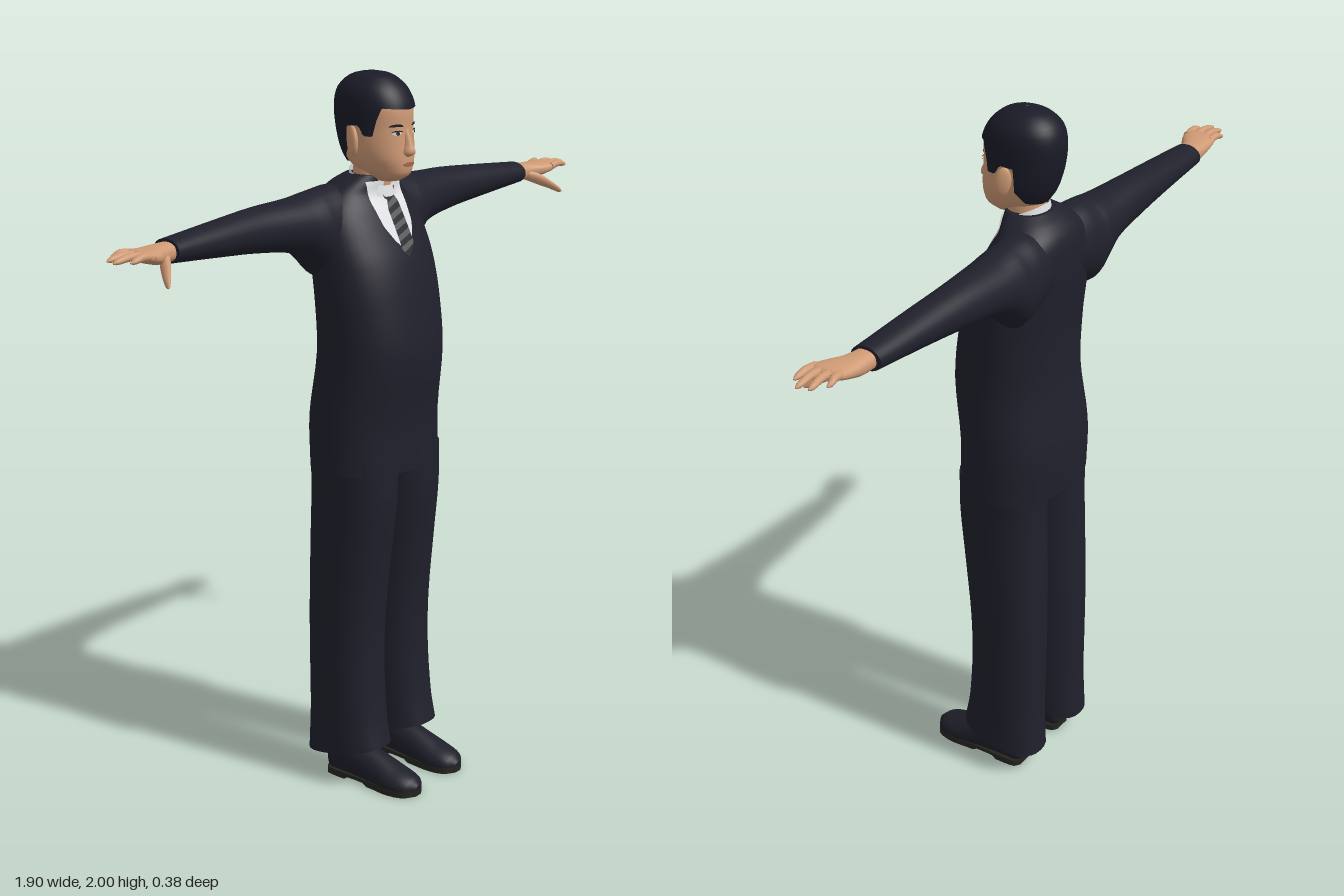
import * as THREE from 'three';

const mat = (name, color, side = THREE.FrontSide) => {
  const m = new THREE.MeshStandardMaterial({ color, side });
  m.name = name;
  return m;
};

// Smooth lookup in a table of rows keyed by their first number
function sample(rows, t) {
  const last = rows.length - 1;
  let i = 0;
  while (i < last - 1 && t > rows[i + 1][0]) i++;
  const a = rows[i], b = rows[i + 1], h = b[0] - a[0];
  const s = Math.min(1, Math.max(0, (t - a[0]) / h));
  const slope = (k, j) => {
    const p = rows[Math.max(0, k - 1)], q = rows[Math.min(last, k + 1)];
    return (q[j] - p[j]) / (q[0] - p[0]);
  };
  return a.map((v, j) => j === 0 ? t
    : (2 * s ** 3 - 3 * s * s + 1) * v + (s ** 3 - 2 * s * s + s) * h * slope(i, j)
    + (3 * s * s - 2 * s ** 3) * b[j] + (s ** 3 - s * s) * h * slope(i + 1, j));
}

const linear = (rows, t) => {
  let i = 0;
  while (i < rows.length - 2 && t > rows[i + 1][0]) i++;
  const [a, b] = [rows[i], rows[i + 1]];
  return a[1] + (b[1] - a[1]) * Math.min(1, Math.max(0, (t - a[0]) / (b[0] - a[0])));
};

// Grid surface from f(u, v); wrapped in u when closed, with optional flat caps
function grid(nu, nv, f, closed, caps) {
  const cols = closed ? nu : nu + 1, pos = [], idx = [];
  for (let j = 0; j <= nv; j++) for (let i = 0; i < cols; i++) pos.push(...f(i / nu, j / nv));
  for (let j = 0; j < nv; j++) for (let i = 0; i < nu; i++) {
    const k = (i + 1) % cols, a = j * cols + i, b = j * cols + k;
    idx.push(a, a + cols, b, b, a + cols, b + cols);
  }
  if (caps) for (const j of [0, nv]) {
    const base = pos.length / 3, mid = [0, 0, 0];
    for (let i = 0; i < nu; i++) {
      const p = f(i / nu, j / nv);
      pos.push(...p);
      p.forEach((c, k) => { mid[k] += c / nu; });
    }
    pos.push(...mid);
    for (let i = 0; i < nu; i++) {
      const a = base + i, b = base + (i + 1) % nu;
      idx.push(base + nu, ...(j ? [b, a] : [a, b]));
    }
  }
  const g = new THREE.BufferGeometry();
  g.setAttribute('position', new THREE.Float32BufferAttribute(pos, 3));
  g.setIndex(idx);
  g.computeVertexNormals();
  return g;
}

const bow = (c, n) => Math.sign(c) * Math.abs(c) ** (2 / n);

// Loft along an axis; rows are [position, centre 1, centre 2, radius 1, radius 2]
function loft(axis, rows, { n = 2, sides = 32, sub = 4, warp = p => p } = {}) {
  const nv = (rows.length - 1) * sub;
  return grid(sides, nv, (u, v) => {
    const k = Math.round(v * nv), i = Math.min(rows.length - 2, Math.floor(k / sub));
    const t = rows[i][0] + (rows[i + 1][0] - rows[i][0]) * (k - i * sub) / sub;
    const [, c1, c2, r1, r2] = sample(rows, t);
    const a = u * Math.PI * 2, p = c1 + r1 * bow(Math.cos(a), n), q = r2 * bow(Math.sin(a), n);
    return warp(axis === 'y' ? [p, t, c2 + q] : axis === 'x' ? [t, p, c2 - q] : [p, c2 - q, t]);
  }, true, true);
}

// Thin patch laid on the front of a vertical loft; f(u, v) gives x and y
const drape = (rows, n, f, lift, nu = 10, nv = 12) => grid(nu, nv, (u, v) => {
  const [x, y] = f(1 - 2 * u, v), [, cx, cz, rx, rz] = sample(rows, y);
  const k = Math.min(1, Math.abs((x - cx) / rx));
  return [x, y, cz + rz * (1 - k ** n) ** (1 / n) + lift];
}, false, false);

function mirrored(geo) {
  const g = geo.clone().scale(-1, 1, 1), ix = g.index;
  for (let i = 0; i < ix.count; i += 3) {
    const b = ix.getX(i + 1);
    ix.setX(i + 1, ix.getX(i + 2));
    ix.setX(i + 2, b);
  }
  return g;
}

export function createModel() {
  const suit = mat('suit', 0x20202c), hairMat = mat('hair', 0x1a1b27, THREE.DoubleSide);
  const skin = mat('skin', 0xcf9a75), shirt = mat('shirt', 0xe2e3e6, THREE.DoubleSide);
  const tieDark = mat('tieDark', 0x2a2b2e), tieLight = mat('tieLight', 0x5a5d60);
  const shoe = mat('shoe', 0x1e1f29), sole = mat('sole', 0x24241f);
  const lip = mat('lip', 0xa8664f), eyeWhite = mat('eyeWhite', 0xd8cfc6);

  const model = new THREE.Group();
  model.name = 'suitedMan';
  const add = (name, geo, m) => {
    const mesh = new THREE.Mesh(geo, m);
    mesh.name = name;
    model.add(mesh);
  };
  const pair = (name, geo, m) => {
    add('left' + name, geo, m);
    add('right' + name, mirrored(geo), m);
  };

  // Jacket body and sleeves
  const torso = [
    [0.93, 0, -0.038, 0.2, 0.148], [1.07, 0, -0.04, 0.197, 0.15], [1.25, 0, -0.018, 0.188, 0.148],
    [1.4, 0, -0.028, 0.193, 0.138], [1.5, 0, -0.045, 0.193, 0.13], [1.58, 0, -0.065, 0.188, 0.115],
    [1.64, 0, -0.08, 0.172, 0.1], [1.68, 0, -0.085, 0.138, 0.085], [1.71, 0, -0.072, 0.1, 0.073],
    [1.73, 0, -0.056, 0.07, 0.058]];
  add('jacket', loft('y', torso, { n: 2.3, sides: 48 }), suit);
  pair('Sleeve', loft('x', [
    [0.05, 1.6, -0.095, 0.1, 0.08], [0.12, 1.595, -0.1, 0.112, 0.083], [0.17, 1.585, -0.1, 0.118, 0.085],
    [0.2, 1.597, -0.101, 0.102, 0.084], [0.26, 1.616, -0.103, 0.075, 0.075], [0.4, 1.626, -0.105, 0.06, 0.061],
    [0.55, 1.628, -0.1, 0.047, 0.053], [0.74, 1.628, -0.094, 0.031, 0.044]]), suit);

  // Trousers with hems that drop towards the heel
  pair('TrouserLeg', loft('y', [
    [0.095, 0.106, -0.047, 0.086, 0.125], [0.2, 0.104, -0.052, 0.087, 0.113], [0.35, 0.102, -0.058, 0.089, 0.107],
    [0.5, 0.1, -0.057, 0.09, 0.109], [0.7, 0.097, -0.045, 0.092, 0.118], [0.85, 0.095, -0.035, 0.092, 0.125],
    [0.97, 0.095, -0.035, 0.093, 0.125]], {
    n: 2.4,
    warp: ([x, y, z]) => [x, y + (z + 0.047) * 0.2 * Math.max(0, 1 - (y - 0.095) / 0.1), z]
  }), suit);

  // Shoes: upper, ankle and flat sole
  const foot = [
    [-0.112, 0.1, 0.045, 0.025, 0.035], [-0.1, 0.1, 0.055, 0.04, 0.058], [-0.05, 0.1, 0.06, 0.045, 0.065],
    [0, 0.098, 0.05, 0.046, 0.06], [0.06, 0.097, 0.035, 0.05, 0.055], [0.12, 0.097, 0.024, 0.054, 0.043],
    [0.17, 0.096, 0.02, 0.042, 0.03], [0.192, 0.095, 0.018, 0.012, 0.012]];
  pair('Shoe', loft('z', foot, { warp: ([x, y, z]) => [x, Math.max(0.016, y), z] }), shoe);
  pair('Ankle', loft('y', [[0.06, 0.1, -0.04, 0.044, 0.065], [0.2, 0.1, -0.05, 0.045, 0.055]]), shoe);
  const flat = foot.map(([z, x, , rx]) => [z, x, 0.009, rx * 1.02, 0.02]);
  pair('Sole', loft('z', flat, {
    n: 4,
    warp: ([x, y, z]) => [x, y > 0.009 ? 0.018 : z > -0.035 && z < 0.035 ? 0.008 : 0, z]
  }), sole);

  // Hands
  pair('Palm', loft('x', [
    [0.72, 1.627, -0.094, 0.024, 0.03], [0.78, 1.627, -0.089, 0.024, 0.036], [0.82, 1.631, -0.077, 0.02, 0.046],
    [0.86, 1.638, -0.07, 0.014, 0.048], [0.872, 1.64, -0.07, 0.006, 0.04]], { n: 2.4 }), skin);
  const fingers = [[-0.106, -0.115, 0.908], [-0.082, -0.09, 0.943], [-0.057, -0.06, 0.952], [-0.034, -0.031, 0.924]];
  fingers.forEach(([z0, z1, tip], i) => pair('Finger' + (i + 1), loft('x', [
    [0.845, 1.638, z0, 0.011, 0.012], [(0.845 + tip) / 2, 1.643, (z0 + z1) / 2, 0.01, 0.011],
    [tip - 0.012, 1.638, z1, 0.007, 0.008], [tip, 1.636, z1, 0.002, 0.002]], { sides: 12 }), skin));
  pair('Thumb', loft('x', [
    [0.765, 1.62, -0.075, 0.014, 0.018], [0.795, 1.606, -0.045, 0.017, 0.019], [0.82, 1.588, -0.018, 0.012, 0.015],
    [0.838, 1.573, 0.002, 0.008, 0.009], [0.844, 1.568, 0.009, 0.002, 0.002]], { sides: 14 }), skin);

  // Shirt front, collar and striped tie
  const vee = [[1.53, 0.004], [1.56, 0.036], [1.6, 0.06], [1.66, 0.07], [1.72, 0.07]];
  add('shirtFront', drape(torso, 2.3, (u, v) => {
    const y = 1.53 + 0.185 * v;
    return [u * linear(vee, y), y];
  }, 0.005, 16, 20), shirt);
  add('collar', grid(40, 4, (u, v) => {
    const a = u * Math.PI * 2, s = Math.sin(a);
    return [(0.07 - 0.008 * v) * Math.cos(a), 1.695 - 0.025 * s + 0.03 * v, -0.046 + (0.062 - 0.005 * v) * s];
  }, true, false), shirt);
  const tieWidth = [[1.52, 0.006], [1.545, 0.028], [1.65, 0.026], [1.672, 0.015], [1.675, 0.024], [1.71, 0.026]];
  const bands = 12;
  for (let i = 0; i < bands; i++) {
    add('tieBand' + (i + 1), drape(torso, 2.3, (u, v) => {
      const y = 1.525 + 0.165 * (i + v) / bands;
      return [u * linear(tieWidth, y), y + 0.008 * u];
    }, 0.011, 8, 3), i % 2 ? tieLight : tieDark);
  }

  // Neck, head and ears
  const head = [
    [1.715, 0, 0.012, 0.03, 0.03], [1.73, 0, 0.01, 0.047, 0.058], [1.75, 0, -0.008, 0.063, 0.084],
    [1.78, 0, -0.019, 0.078, 0.096], [1.82, 0, -0.028, 0.084, 0.102], [1.86, 0, -0.034, 0.084, 0.106],
    [1.91, 0, -0.037, 0.084, 0.107], [1.95, 0, -0.042, 0.076, 0.093], [1.975, 0, -0.044, 0.056, 0.07],
    [1.99, 0, -0.044, 0.033, 0.041], [1.996, 0, -0.044, 0.002, 0.002]];
  add('neck', loft('y', [[1.66, 0, -0.046, 0.056, 0.05], [1.8, 0, -0.04, 0.052, 0.054]]), skin);
  add('head', loft('y', head, { n: 2.2, sides: 40 }), skin);
  pair('Ear', new THREE.SphereGeometry(1, 16, 12).scale(0.011, 0.04, 0.022)
    .rotateX(-0.15).rotateY(0.45).translate(0.095, 1.825, -0.034), skin);

  // Hair cap whose lower edge follows the hairline from brow to nape
  const hairline = [[0, 1.905], [48, 1.912], [57, 1.88], [64, 1.838], [78, 1.838], [84, 1.865],
    [102, 1.862], [108, 1.8], [130, 1.765], [180, 1.752]];
  add('hair', grid(96, 18, (u, v) => {
    const a = u * Math.PI * 2, low = linear(hairline, Math.acos(Math.sin(a)) * 180 / Math.PI);
    const y = low + (1.996 - low) * Math.sin(v * Math.PI / 2), [, , cz, rx, rz] = sample(head, y);
    const lift = 0.006 * (1 - v ** 6);
    return [(rx + lift) * bow(Math.cos(a), 2.2), y + 0.004 * v, cz + (rz + lift) * bow(Math.sin(a), 2.2)];
  }, true, false), hairMat);

  // Face: nose, brows, eyes and lips
  add('nose', loft('y', [[1.782, 0, 0.07, 0.008, 0.01], [1.792, 0, 0.076, 0.018, 0.02],
    [1.815, 0, 0.072, 0.012, 0.018], [1.855, 0, 0.064, 0.008, 0.01]], { sides: 16 }), skin);
  const spot = (cx, cy, w, h, lift, bend = 0) => drape(head, 2.2, (u, v) =>
    [cx + u * w, cy + bend * (1 - u * u) + (v - 0.5) * 2 * h * Math.sqrt(1.02 - u * u)], lift, 10, 4);
  pair('Eyebrow', spot(0.036, 1.863, 0.019, 0.0035, 0.003, 0.003), hairMat);
  pair('Eye', spot(0.035, 1.845, 0.013, 0.005, 0.002), eyeWhite);
  pair('Iris', spot(0.035, 1.845, 0.005, 0.005, 0.004), tieDark);
  pair('UpperLid', spot(0.035, 1.849, 0.015, 0.002, 0.004, 0.002), hairMat);
  add('lips', spot(0, 1.762, 0.024, 0.006, 0.004), lip);

  return model;
}
